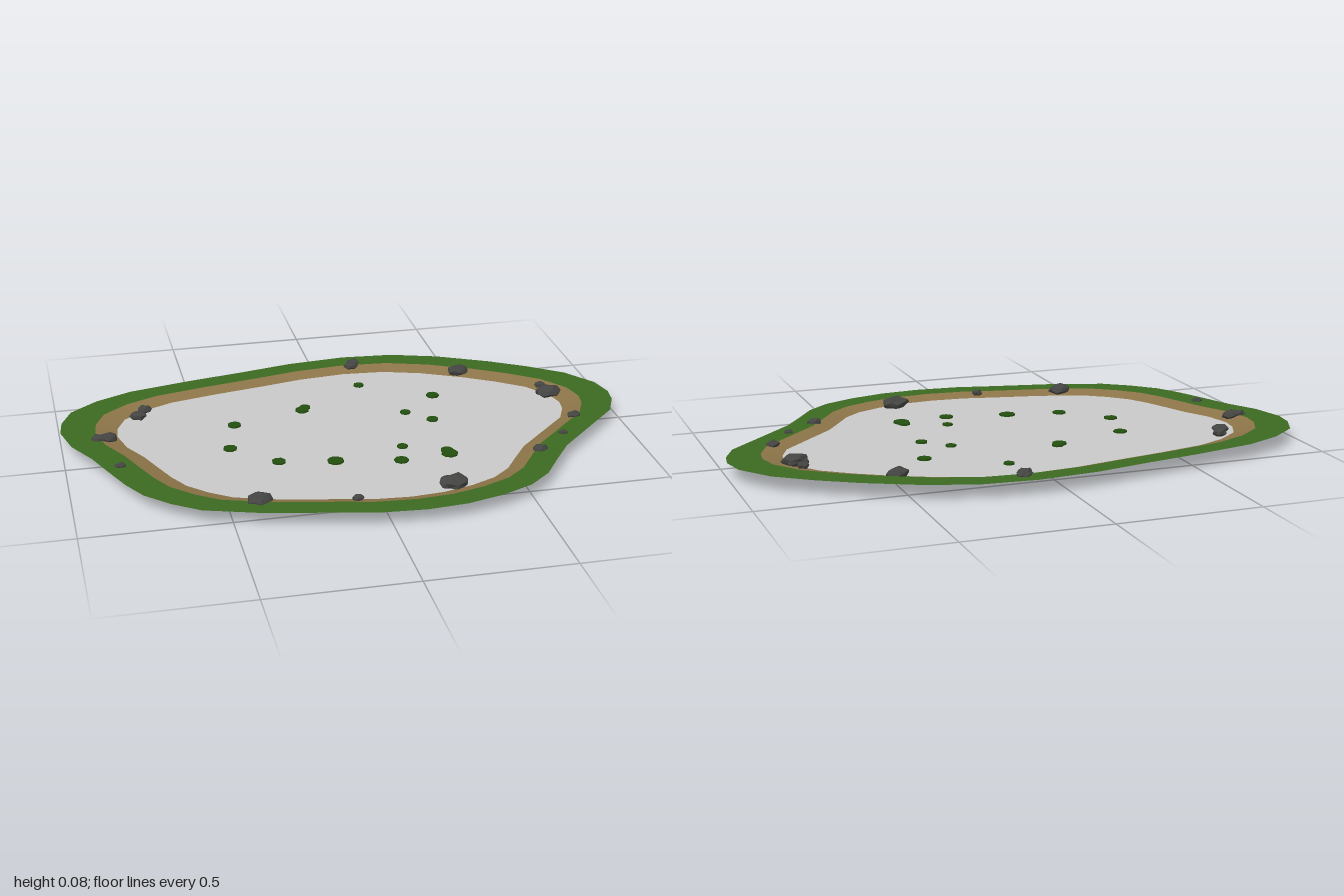
import * as THREE from 'three';

const mat = (name, color, extra = {}) => {
  const m = new THREE.MeshStandardMaterial({ color, ...extra });
  m.name = name;
  return m;
};

// Shoreline as x, z pairs, going round from the right
const SHORE = [
  1, -.12, .98, -.21, .9, -.32, .78, -.41, .65, -.49, .47, -.58, .3, -.635, .11, -.65, -.1, -.63,
  -.29, -.59, -.5, -.55, -.72, -.5, -.85, -.44, -.95, -.36, -.99, -.27, -1, -.19, -.97, -.07, -.91, .04,
  -.87, .14, -.82, .26, -.77, .35, -.69, .43, -.6, .495, -.4, .56, -.18, .605, -.05, .635, .11, .647,
  .25, .635, .38, .6, .49, .55, .57, .48, .63, .39, .7, .29, .78, .21, .87, .12, .95, .04, .99, -.05,
];
const N = SHORE.length / 2;

// Skin between scaled copies of the shoreline; each ring is [scale, y], from outside inward
function shoreSkin(rings, faceDown = false) {
  const pos = [], index = [];
  for (const [s, y] of rings)
    for (let i = 0; i < N; i++) pos.push(SHORE[2 * i] * s, y, SHORE[2 * i + 1] * s);
  for (let r = 0; r < rings.length - 1; r++)
    for (let i = 0; i < N; i++) {
      const j = (i + 1) % N;
      const a = r * N + i, b = r * N + j, c = a + N, d = b + N;
      if (faceDown) index.push(a, c, b, b, c, d);
      else index.push(a, b, c, b, d, c);
    }
  const g = new THREE.BufferGeometry();
  g.setAttribute('position', new THREE.Float32BufferAttribute(pos, 3));
  g.setIndex(index);
  g.computeVertexNormals();
  return g;
}

// Lumpy rock; equal corners move alike because the rule depends on position only
function rockGeometry(seed) {
  const g = new THREE.IcosahedronGeometry(1, 1);
  const p = g.attributes.position;
  for (let i = 0; i < p.count; i++) {
    const x = p.getX(i), y = p.getY(i), z = p.getZ(i);
    const k = 0.95 + 0.13 * Math.sin(5 * x + 3 * y + 4 * z + seed * 2.3);
    p.setXYZ(i, x * k, y * k, z * k);
  }
  g.computeVertexNormals();
  return g;
}

export function createModel() {
  const pond = new THREE.Group();
  pond.name = 'pond';
  const both = { side: THREE.DoubleSide };
  const grass = mat('grass green', 0x3b6a22, both);
  const sand = mat('sand brown', 0x8c7448, both);
  const water = mat('water grey', 0xc8c8c8, both);
  const bed = mat('deep blue', 0x0a2533);
  const pad = mat('lily green', 0x234f0e);
  const stone = mat('stone grey', 0x444442, { flatShading: true });

  const add = (name, geometry, material, parent = pond) => {
    const m = new THREE.Mesh(geometry, material);
    m.name = name;
    parent.add(m);
    return m;
  };

  // Ground rings, water sheet and the bowl beneath
  add('grassBank', shoreSkin([[1, .053], [.88, .053]]), grass);
  add('sandBank', shoreSkin([[.88, .053], [.8, .037]]), sand);
  add('waterSurface', shoreSkin([[.805, .038], [0, .038]]), water);
  add('pondBed', shoreSkin([[.785, .034], [.69, .01], [.4, .004], [0, 0]], true), bed);

  // Lily pads: x, z, radius
  const pads = new THREE.Group();
  pads.name = 'lilyPads';
  pond.add(pads);
  [
    [.12, -.4, .019], [-.13, -.225, .025], [-.115, -.245, .02], [-.39, -.15, .024], [.365, -.25, .024],
    [.23, -.125, .019], [.31, -.045, .021], [-.435, .037, .024], [-.29, .175, .024], [-.1, .212, .029],
    [.12, .255, .025], [.15, .15, .019], [.295, .24, .029], [.292, .213, .022],
  ].forEach(([x, z, r], i) => {
    const m = add('lilyPad', new THREE.CylinderGeometry(r, r, .006, 8), pad, pads);
    m.position.set(x, .042, z);
    m.rotation.y = i * 1.7;
  });

  // Shore rocks: x, z, half width, half depth
  const rocks = new THREE.Group();
  rocks.name = 'shoreRocks';
  pond.add(rocks);
  [
    [.14, -.588, .026, .02], [.125, -.56, .028, .02], [.512, -.428, .042, .028], [.773, -.232, .02, .015],
    [.782, -.167, .048, .037], [.808, .055, .026, .019], [.72, .19, .016, .012], [.6, .297, .028, .021],
    [.247, .475, .052, .039], [-.092, .52, .02, .014], [-.407, .463, .045, .038], [-.82, .117, .021, .014],
    [-.873, -.115, .028, .021], [-.84, -.115, .034, .027], [-.716, -.28, .031, .023], [-.69, -.328, .026, .021],
  ].forEach(([x, z, w, d], i) => {
    const m = add('rock', rockGeometry(i), stone, rocks);
    m.position.set(x, .054, z);
    m.scale.set(w, .005 + w * .4, d);
  });

  return pond;
}
